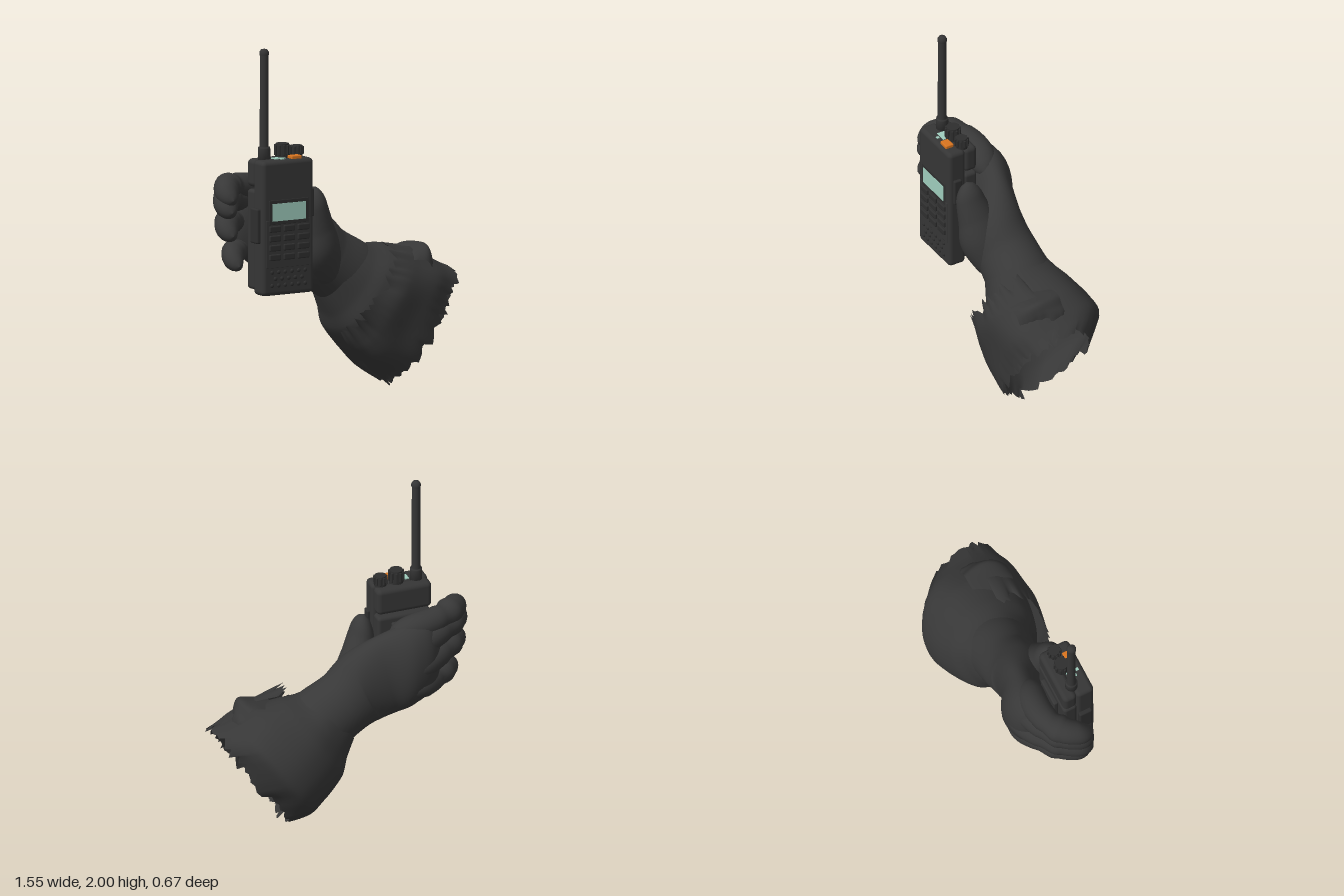
import * as THREE from 'three';
import { RoundedBoxGeometry } from 'three/addons/geometries/RoundedBoxGeometry.js';

const mat = (name, color, side = THREE.FrontSide) => {
  const m = new THREE.MeshStandardMaterial({ color, side });
  m.name = name;
  return m;
};

const hash = (i) => {
  const s = Math.sin(i * 127.1 + 11.7) * 43758.5453;
  return s - Math.floor(s);
};

// Skin over oval sections [x, y, z, halfHeight, halfDepth, tilt].
// th0/th1 limit it to an open strip; jag values tear its two ends;
// flat keeps the sections square to the z axis.
function loft(sections, o = {}) {
  const { nu = 36, nv = 32, th0 = 0, th1 = Math.PI * 2, power = 1, wrinkle = 0, flat = false,
    jagStart = 0, jagEnd = 0, roundStart = 0, roundEnd = 0, seed = 0 } = o;
  const closed = th1 - th0 > 6.28;
  const path = new THREE.CatmullRomCurve3(sections.map((s) => new THREE.Vector3(s[0], s[1], s[2])));
  const size = new THREE.CatmullRomCurve3(sections.map((s) => new THREE.Vector3(s[3], s[4], s[5])));
  const cols = closed ? nu : nu + 1;
  const pos = [], index = [];
  const bend = (c) => Math.sign(c) * Math.abs(c) ** power;
  for (let j = 0; j <= nv; j++) {
    const v = j / nv;
    const c = path.getPoint(v), r = size.getPoint(v), t = path.getTangent(v);
    if (flat) t.setZ(0).normalize();
    const n = new THREE.Vector3(Math.sin(r.z), Math.cos(r.z), 0);
    const s = new THREE.Vector3().crossVectors(t, n).normalize();
    let k = 1;
    if (roundEnd && v > 1 - roundEnd) k = Math.sqrt(Math.max(0, 1 - ((v - 1 + roundEnd) / roundEnd) ** 2));
    if (roundStart && v < roundStart) k = Math.sqrt(Math.max(0, 1 - (1 - v / roundStart) ** 2));
    for (let i = 0; i < cols; i++) {
      const th = th0 + (th1 - th0) * i / nu;
      const w = k * (1 + wrinkle * (Math.sin(th * 5 + v * 6 + seed) + 0.7 * Math.sin(th * 3 - v * 11)));
      const tear = jagEnd * (hash(i + seed) - 0.4) * v ** 5 - jagStart * (hash(i * 3 + seed) - 0.4) * (1 - v) ** 5;
      const p = c.clone().addScaledVector(n, r.x * w * bend(Math.cos(th)))
        .addScaledVector(s, r.y * w * bend(Math.sin(th))).addScaledVector(t, tear);
      pos.push(p.x, p.y, p.z);
    }
  }
  for (let j = 0; j < nv; j++) for (let i = 0; i < nu; i++) {
    const a = j * cols + i, b = j * cols + (i + 1) % cols;
    index.push(a, b, a + cols, b, b + cols, a + cols);
  }
  const g = new THREE.BufferGeometry();
  g.setAttribute('position', new THREE.Float32BufferAttribute(pos, 3));
  g.setIndex(index);
  g.computeVertexNormals();
  return g;
}

export function createModel() {
  const root = new THREE.Group();
  const glove = mat('glove fabric', 0x383838);
  const cloth = mat('sleeve fabric', 0x373737, THREE.DoubleSide);
  const plastic = mat('radio plastic', 0x353535);
  const rubber = mat('dark rubber', 0x2e2e2e);
  const teal = mat('display teal', 0x9fcdbd);
  const orange = mat('signal orange', 0xd8741f);

  const add = (parent, name, geo, material, x = 0, y = 0, z = 0) => {
    const m = new THREE.Mesh(geo, material);
    m.name = name;
    m.position.set(x, y, z);
    parent.add(m);
    return m;
  };
  const box = (w, h, d, r = 0.01) => new RoundedBoxGeometry(w, h, d, 3, r);

  // ---- Radio ----
  const radio = new THREE.Group();
  radio.name = 'radio';
  root.add(radio);
  const cx = -0.395;
  add(radio, 'frontBody', box(0.34, 0.77, 0.11, 0.025), plastic, cx, 0.985, 0.185);
  add(radio, 'backCap', box(0.33, 0.16, 0.085, 0.028), plastic, cx, 1.29, 0.093);
  add(radio, 'battery', box(0.325, 0.57, 0.085, 0.02), plastic, cx, 0.91, 0.093);
  add(radio, 'beltClip', box(0.17, 0.4, 0.03, 0.01), plastic, cx, 0.96, 0.04);
  for (let i = 0; i < 4; i++) add(radio, 'batteryRib', box(0.24, 0.014, 0.012, 0.004), rubber, cx, 0.65 + i * 0.028, 0.05);
  add(radio, 'talkButton', box(0.03, 0.2, 0.08, 0.01), rubber, -0.573, 1.0, 0.175);
  add(radio, 'sideSocket', box(0.025, 0.16, 0.05, 0.008), rubber, -0.22, 1.11, 0.19);

  // keypad, display and speaker on the front face
  add(radio, 'displayFrame', box(0.26, 0.14, 0.008, 0.003), rubber, cx, 1.077, 0.24);
  add(radio, 'display', new THREE.BoxGeometry(0.22, 0.1, 0.006), teal, cx, 1.077, 0.243);
  add(radio, 'keypadPanel', box(0.3, 0.27, 0.006, 0.002), plastic, cx, 0.895, 0.24);
  for (let row = 0; row < 4; row++) for (let col = -1; col <= 1; col++) {
    add(radio, 'key', box(0.075, 0.036, 0.016, 0.007), rubber, cx + col * 0.094, 0.983 - row * 0.054, 0.246);
  }
  const dot = new THREE.SphereGeometry(0.012, 10, 6);
  for (let row = 0; row < 3; row++) {
    const count = row === 1 ? 5 : 6;
    for (let i = 0; i < count; i++) {
      add(radio, 'speakerDot', dot, rubber, cx + (i - (count - 1) / 2) * 0.044, 0.735 - row * 0.038, 0.24).scale.z = 0.7;
    }
  }

  // antenna, knobs and controls on top
  const antenna = new THREE.LatheGeometry([
    [0, 1.36], [0.035, 1.36], [0.035, 1.43], [0.033, 1.438], [0.025, 1.44], [0.024, 1.96],
    [0.027, 1.966], [0.027, 1.982], [0.018, 1.996], [0, 2.0],
  ].map((p) => new THREE.Vector2(...p)), 20);
  add(radio, 'antenna', antenna, plastic, -0.49, 0, 0.13);
  for (const [x, r, h] of [[-0.37, 0.041, 0.085], [-0.275, 0.035, 0.066]]) {
    add(radio, 'knob', new THREE.CylinderGeometry(r * 0.92, r, h, 20), rubber, x, 1.365 + h / 2, 0.13);
    for (let i = 0; i < 10; i++) {
      const a = i * Math.PI / 5;
      const ridge = add(radio, 'knobRidge', box(0.012, h * 0.7, 0.012, 0.003), rubber,
        x + Math.cos(a) * r, 1.37 + h / 2, 0.13 + Math.sin(a) * r);
      ridge.rotation.y = -a;
    }
  }
  add(radio, 'topDisplay', new THREE.BoxGeometry(0.07, 0.006, 0.05), teal, -0.415, 1.371, 0.162);
  add(radio, 'topLight', new THREE.BoxGeometry(0.018, 0.006, 0.018), teal, -0.415, 1.371, 0.203);
  add(radio, 'emergencyButton', box(0.066, 0.03, 0.05, 0.005), orange, -0.327, 1.372, 0.195);

  // ---- Gloved hand ----
  const hand = new THREE.Group();
  hand.name = 'glovedHand';
  root.add(hand);
  add(hand, 'palmAndWrist', loft([
    [-0.56, 1.0, -0.075, 0.21, 0.07, 0],
    [-0.4, 0.965, -0.1, 0.25, 0.13, 0],
    [-0.25, 0.9, -0.06, 0.255, 0.12, 0.25],
    [-0.12, 0.815, -0.005, 0.23, 0.165, 0.45],
    [0.0, 0.735, -0.01, 0.195, 0.175, 0.55],
    [0.12, 0.66, -0.01, 0.2, 0.19, 0.59],
    [0.22, 0.59, -0.01, 0.2, 0.2, 0.59],
  ], { roundStart: 0.12, roundEnd: 0.08, nv: 60 }), glove);

  // fingers curl round the radio: [name, knuckle y, tip y, knuckle z, radius, reach]
  const fingers = [
    ['indexFinger', 1.15, 1.205, -0.07, 0.075, -0.005],
    ['middleFinger', 1.06, 1.135, -0.11, 0.076, -0.01],
    ['ringFinger', 0.95, 1.0, -0.15, 0.072, -0.005],
    ['littleFinger', 0.84, 0.825, -0.145, 0.066, 0.035],
  ];
  for (const [name, y0, y1, z0, r, dx] of fingers) {
    const y = (t) => y0 + (y1 - y0) * t;
    add(hand, name, loft([
      [-0.26, y(-0.3), z0 + 0.04, r * 0.8, r * 0.85, 0],
      [-0.41, y(0.35), z0, r * 1.1, r * 1.1, 0],
      [-0.55 + dx, y(0.85), z0 * 0.4 - 0.03, r, r, 0],
      [-0.645 + dx, y(1), -0.005, r, r, 0],
      [-0.695 + dx, y(1) - 0.02, 0.075, r * 0.95, r * 0.9, 0],
      [-0.705 + dx, y(1) - 0.055, 0.16, r * 0.75, r * 0.7, 0],
    ], { nu: 20, nv: 36, roundStart: 0.12, roundEnd: 0.2 }), glove);
  }
  // thumb runs up the side of the radio from a broad heel
  add(hand, 'thumb', loft([
    [0.03, 0.62, 0.0, 0.09, 0.1, 0.9],
    [-0.06, 0.72, 0.05, 0.12, 0.125, 1.0],
    [-0.115, 0.83, 0.09, 0.13, 0.135, 1.05],
    [-0.14, 0.95, 0.115, 0.1, 0.11, 1.1],
    [-0.165, 1.07, 0.14, 0.075, 0.085, 1.1],
    [-0.185, 1.185, 0.15, 0.055, 0.065, 1.1],
  ], { nu: 26, nv: 40, roundStart: 0.15, roundEnd: 0.18 }), glove);

  // ---- Torn sleeve ----
  const sleeve = new THREE.Group();
  sleeve.name = 'tornSleeve';
  root.add(sleeve);
  const tilt = 0.59;
  add(sleeve, 'sleeveTube', loft([
    [0.06, 0.68, -0.01, 0.185, 0.175, tilt],
    [0.14, 0.61, -0.01, 0.235, 0.215, tilt],
    [0.2, 0.56, -0.01, 0.285, 0.26, tilt],
    [0.33, 0.485, -0.015, 0.34, 0.305, tilt],
    [0.42, 0.425, -0.02, 0.36, 0.312, tilt],
    [0.48, 0.38, 0.01, 0.37, 0.28, tilt],
    [0.535, 0.34, 0.05, 0.38, 0.235, tilt],
  ], { nu: 64, nv: 36, wrinkle: 0.012, jagEnd: 0.06, power: 0.92, flat: true }), cloth);
  // loose outer layer across the front with a ripped edge
  add(sleeve, 'frontFlap', loft([
    [0.19, 0.57, 0.02, 0.28, 0.28, tilt],
    [0.3, 0.5, 0.02, 0.34, 0.3, tilt],
    [0.43, 0.41, 0.02, 0.37, 0.295, tilt],
    [0.54, 0.335, 0.03, 0.382, 0.265, tilt],
  ], { nu: 44, nv: 24, th0: 0.15, th1: 2.99, wrinkle: 0.014, jagStart: 0.09, jagEnd: 0.07, power: 0.75, seed: 5, flat: true }), cloth);
  // crumpled fold standing up from the top edge
  add(sleeve, 'topFold', loft([
    [0.25, 0.535, 0.06, 0.28, 0.22, tilt],
    [0.31, 0.495, 0.06, 0.365, 0.25, tilt],
    [0.355, 0.46, 0.06, 0.405, 0.26, tilt],
    [0.4, 0.43, 0.06, 0.385, 0.26, tilt],
    [0.43, 0.41, 0.06, 0.35, 0.25, tilt],
  ], { nu: 18, nv: 20, th0: -0.25, th1: 0.75, wrinkle: 0.018, jagEnd: 0.03, seed: 9, power: 0.9, flat: true }), cloth);

  return root;
}
